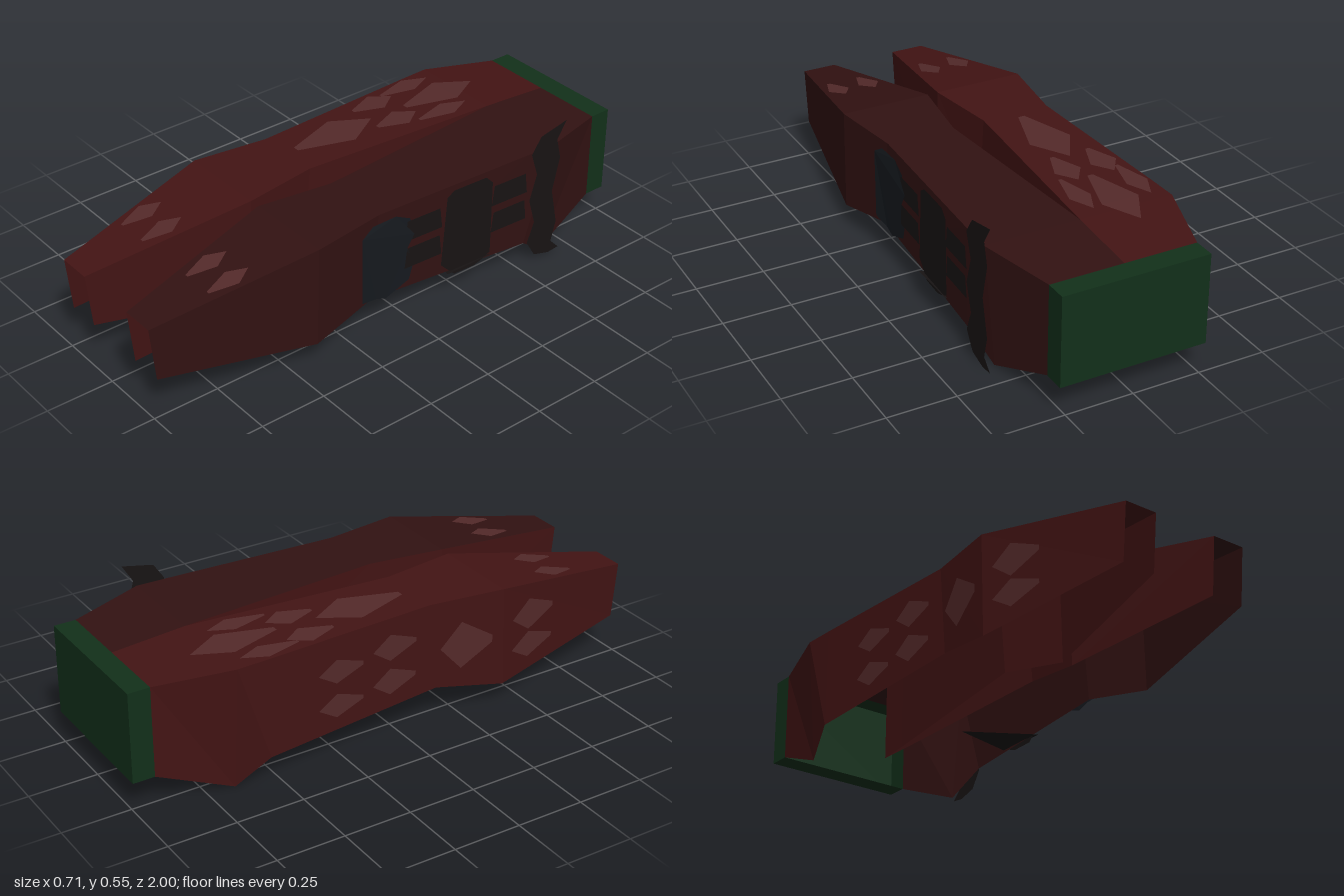
import * as THREE from 'three';

const mat = (color) => new THREE.MeshStandardMaterial({ color, side: THREE.DoubleSide, flatShading: true });

// Cross-section stations along the legs, from cuff to waist
const STATIONS = [
  { z: 1.0, zb: 0.98, out: 0.25, inn: 0.125, top: 0.355, bot: 0.15, botX: 0.25, botIn: 0.15 },
  { z: 0.4, zb: 0.41, out: 0.353, inn: 0.02, top: 0.46, bot: 0.085, botX: 0.353, botIn: 0.085 },
  { z: 0.12, zb: 0.15, out: 0.315, inn: 0.06, top: 0.46, bot: 0.13, botX: 0.315, botIn: 0.13 },
  { z: -0.53, zb: -0.53, out: 0.346, inn: 0.009, top: 0.46, bot: 0.09, botX: 0.346, botIn: 0.09 },
  { z: -0.65, zb: -0.65, out: 0.35, inn: 0, top: 0.46, bot: 0, botX: 0.312, botIn: 0.085 },
  { z: -0.92, zb: -0.92, out: 0.27, inn: 0, top: 0.44, bot: 0.108, botX: 0.27, botIn: 0.108 },
];

// Value of one station field at any z
function at(key, z) {
  for (let i = 0; i < STATIONS.length - 1; i++) {
    const a = STATIONS[i], b = STATIONS[i + 1];
    if (z >= b.z) return THREE.MathUtils.mapLinear(z, a.z, b.z, a[key], b[key]);
  }
  return STATIONS[STATIONS.length - 1][key];
}

function mesh(name, geometry, material) {
  geometry.computeVertexNormals();
  const m = new THREE.Mesh(geometry, material);
  m.name = name;
  return m;
}

// Ribbon of quads between two rails
function strip(name, railA, railB, material, flip) {
  const pos = [];
  for (let i = 0; i < railA.length - 1; i++) {
    const [a, b, c, d] = [railA[i], railB[i], railB[i + 1], railA[i + 1]];
    pos.push(...(flip ? [a, c, b, a, d, c] : [a, b, c, a, c, d]).flat());
  }
  const g = new THREE.BufferGeometry();
  g.setAttribute('position', new THREE.Float32BufferAttribute(pos, 3));
  return mesh(name, g, material);
}

// Flat outline laid onto a surface by a mapping rule
function patch(name, outline, place, material) {
  const g = new THREE.ShapeGeometry(new THREE.Shape(outline.map(([a, b]) => new THREE.Vector2(a, b))));
  const p = g.attributes.position;
  for (let i = 0; i < p.count; i++) p.setXYZ(i, ...place(p.getX(i), p.getY(i)));
  return mesh(name, g, material);
}

const diamond = (a, b, ra, rb) => [[a - ra, b], [a - ra * 0.2, b + rb], [a + ra, b + rb * 0.15],
  [a + ra, b - rb * 0.15], [a - ra * 0.2, b - rb]];

export function createModel() {
  const model = new THREE.Group();
  const red = mat(0x431414), darkRed = mat(0x321212), green = mat(0x12301a);
  const scale = mat(0x542a2a), black = mat(0x181414), slate = mat(0x161a1f);

  // Legs: open shells with a top, an outer and an inner panel
  for (const s of [-1, 1]) {
    const leg = new THREE.Group();
    leg.name = s > 0 ? 'leftLeg' : 'rightLeg';
    const cloth = s > 0 ? darkRed : red;
    const outTop = STATIONS.map((p) => [s * p.out, p.top, p.z]);
    const inTop = STATIONS.map((p) => [s * p.inn, p.top, p.z]);
    const outBot = STATIONS.map((p) => [s * p.botX, p.bot, p.zb]);
    const inBot = STATIONS.map((p) => [s * p.inn, p.botIn, p.zb]);
    leg.add(
      strip('topPanel', outTop, inTop, cloth, s < 0),
      strip('outerPanel', outBot, outTop, cloth, s < 0),
      strip('innerPanel', inTop.slice(0, 5), inBot.slice(0, 5), red, s < 0),
    );
    // Shin scales
    for (const x of [0.13, 0.25]) {
      leg.add(patch('shinScale', diamond(0.69, x, 0.08, 0.04),
        (z, px) => [s * px, at('top', z) + 0.003, z], scale));
    }
    model.add(leg);
  }

  // Scales on the top of the right thigh: z, x, half length, half width
  for (const [z, x, rz, rx] of [[-0.57, 0.18, 0.16, 0.07], [-0.5, 0.295, 0.11, 0.04], [-0.5, 0.075, 0.11, 0.04],
    [-0.33, 0.27, 0.09, 0.05], [-0.33, 0.13, 0.09, 0.05], [-0.09, 0.19, 0.17, 0.08]]) {
    model.add(patch('thighScale', diamond(z, x, rz, rx), (a, b) => [-b, at('top', a) + 0.003, a], scale));
  }
  // Scales on the right outer side, outside and inside: z, y, half length, half height
  for (const [z, y, rz, ry] of [[-0.25, 0.33, 0.09, 0.045], [-0.25, 0.2, 0.09, 0.045], [-0.03, 0.35, 0.09, 0.05],
    [-0.03, 0.22, 0.09, 0.05], [0.26, 0.28, 0.1, 0.09], [0.55, 0.32, 0.1, 0.06], [0.55, 0.2, 0.1, 0.05]]) {
    for (const off of [0.003, -0.003]) {
      model.add(patch('sideScale', diamond(z, y, rz, ry), (a, b) => [-at('out', a) - off, b, a], scale));
    }
  }

  // Belt: back plate and rim, open toward the legs
  const corners = [[-0.27, 0.108], [0.27, 0.108], [0.27, 0.44], [-0.27, 0.44], [-0.27, 0.108]];
  const rim = (z) => corners.map(([x, y]) => [x, y, z]);
  const plate = new THREE.PlaneGeometry(0.54, 0.332).rotateY(Math.PI).translate(0, 0.274, -1);
  model.add(strip('beltRim', rim(-1), rim(-0.92), green, true), mesh('beltBack', plate, green));

  // Gear on the left outer side, outlines in z and y
  const onSide = (z, y) => [at('out', z) + 0.004, y, z];
  model.add(patch('kneePad', [[0.2, 0.14], [0.2, 0.4], [0.15, 0.43], [0.05, 0.43], [-0.01, 0.4], [-0.03, 0.33],
    [0, 0.28], [-0.03, 0.22], [-0.01, 0.15], [0.05, 0.125], [0.09, 0.11], [0.13, 0.125]], onSide, slate));
  model.add(patch('thighStrap', [[-0.15, 0.15], [-0.17, 0.42], [-0.2, 0.44], [-0.34, 0.44], [-0.37, 0.41],
    [-0.37, 0.12], [-0.33, 0.1], [-0.3, 0.09], [-0.21, 0.09]], onSide, black));
  for (const y of [0.2, 0.31]) {
    for (const z of [-0.07, -0.45]) {
      model.add(patch('sideStrap', [[z - 0.08, y], [z + 0.08, y], [z + 0.07, y + 0.08], [z - 0.07, y + 0.08]],
        onSide, black));
    }
  }
  // Horned hip ornament standing above and below the leg
  model.add(patch('hipHorns', [[-0.54, 0.46], [-0.58, 0.52], [-0.7, 0.545], [-0.66, 0.48], [-0.68, 0.4],
    [-0.65, 0.27], [-0.68, 0.13], [-0.66, 0.05], [-0.7, 0.01], [-0.65, 0.005], [-0.58, 0.025], [-0.54, 0.09],
    [-0.57, 0.17], [-0.54, 0.27], [-0.57, 0.37]], (z, y) => [0.355, y, z], black));
  // Strap end passing under the thigh
  model.add(patch('underStrap', [[-0.17, 0.345], [-0.37, 0.345], [-0.27, 0.07]],
    (z, x) => [x, 0.079 + x * 0.09, z], black));

  return model;
}
